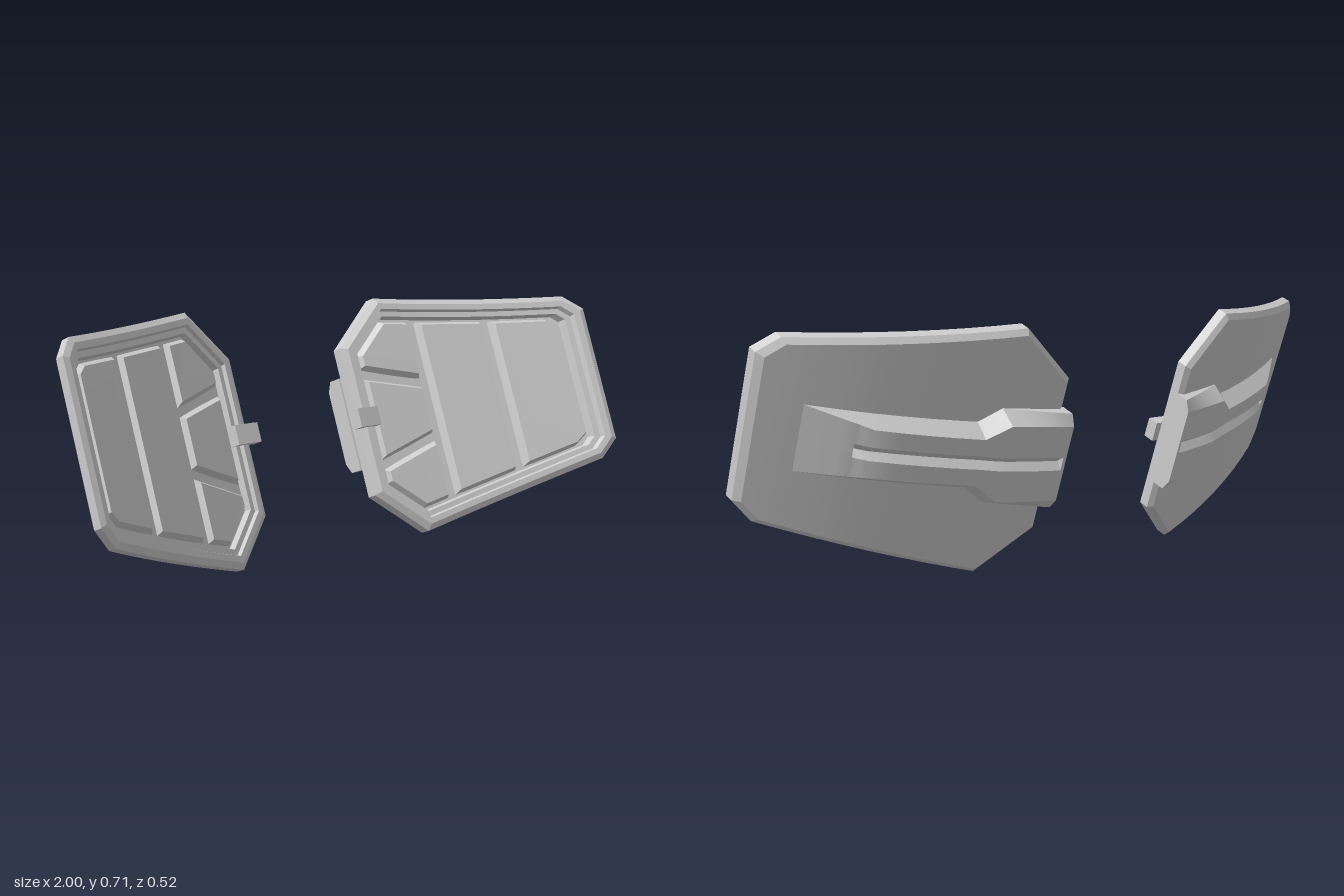
import * as THREE from 'three';
import { toCreasedNormals } from 'three/addons/utils/BufferGeometryUtils.js';

const TILT = THREE.MathUtils.degToRad(20);
const MID = 0.3725; // height of the panel's line of symmetry
const material = new THREE.MeshStandardMaterial({ color: 0xcccccc });

// Point on the bowed panel: x, height v, and distance h in front of its back face
const at = (x, v, h) => {
  const t = x - 0.22;
  return [x, v, -0.041 + 0.203 * t + 0.286 * t * t + h];
};

// Mesh from quads; side -1 mirrors in x and flips the corner order
function quadMesh(name, quads, side) {
  const pos = [];
  for (const q of quads) {
    const c = side > 0 ? q : [...q].reverse();
    for (const k of [0, 1, 2, 0, 2, 3]) pos.push(c[k][0] * side, c[k][1], c[k][2]);
  }
  const g = new THREE.BufferGeometry();
  g.setAttribute('position', new THREE.Float32BufferAttribute(pos, 3));
  const mesh = new THREE.Mesh(toCreasedNormals(g, 0.3), material);
  mesh.name = name;
  return mesh;
}

// Quads joining successive closed sections
function loft(sections) {
  const quads = [];
  for (let s = 0; s + 1 < sections.length; s++) {
    const a = sections[s], b = sections[s + 1], n = a.length;
    for (let j = 0; j < n; j++) {
      const k = (j + 1) % n;
      quads.push([a[j], a[k], b[k], b[j]]);
    }
  }
  return quads;
}

// Corners of a convex polygon moved inwards by d
function inset(polygon, d) {
  const n = polygon.length;
  const lines = polygon.map((p, i) => {
    const q = polygon[(i + 1) % n];
    const len = Math.hypot(q[0] - p[0], q[1] - p[1]);
    const nx = -(q[1] - p[1]) / len, ny = (q[0] - p[0]) / len;
    return [nx, ny, nx * p[0] + ny * p[1] + d];
  });
  return lines.map((b, i) => {
    const a = lines[(i + n - 1) % n], det = a[0] * b[1] - a[1] * b[0];
    return [(a[2] * b[1] - a[1] * b[2]) / det, (a[0] * b[2] - a[2] * b[0]) / det];
  });
}

const OUTLINE = [[1, 0.155], [1, 0.59], [0.95, 0.643], [0.37, 0.747],
  [0.22, 0.606], [0.22, 0.139], [0.37, -0.002], [0.95, 0.102]];

// Inset outline with the long edges subdivided to follow the bow
function ring([d, h]) {
  const corners = inset(OUTLINE, d), pts = [];
  corners.forEach((p, i) => {
    const q = corners[(i + 1) % corners.length], steps = i === 2 || i === 6 ? 8 : 1;
    for (let s = 0; s < steps; s++) {
      const t = s / steps;
      pts.push(at(p[0] + (q[0] - p[0]) * t, p[1] + (q[1] - p[1]) * t, h));
    }
  });
  return pts;
}

// Bevelled panel with a stepped rim around a recessed front
function panel(side) {
  const rings = [[0.015, 0], [0, 0.014], [0, 0.046], [0.018, 0.058], [0.036, 0.058],
    [0.04, 0.044], [0.056, 0.044], [0.06, 0.02]].map(ring);
  const quads = loft(rings);
  const back = rings[0], front = rings[rings.length - 1];
  for (let i = 1; i <= 10; i++) {
    const k = [i, i + 1, 22 - i, (23 - i) % 22];
    quads.push(k.map(j => front[j]), k.map(j => back[j]).reverse());
  }
  return quadMesh('panel', quads, side);
}

// Raised plate with bevelled edges, set in the recess
function plate(name, polygon, side) {
  const rings = [[0, 0.018], [0.012, 0.04]].map(([d, h]) =>
    inset(polygon, d).map(([x, v]) => at(x, v, h)));
  const quads = loft(rings), top = rings[1], n = top.length;
  const centre = [0, 1, 2].map(c => top.reduce((sum, p) => sum + p[c], 0) / n);
  for (let i = 0; i < n; i += 2) {
    const c = top[(i + 2) % n];
    quads.push([centre, top[i], top[(i + 1) % n], i + 1 < n ? c : top[0]]);
  }
  return quadMesh(name, quads, side);
}

// Plate outlines: outer, middle, and three fanned inner ones, with grooves between
const edge = x => 0.306 - 0.176 * (x - 0.37);
const mirrored = half => [...half, ...half.map(([x, r]) => [x, -r]).reverse()];
const UPPER = [[0.479, 0.1], [0.479, edge(0.479)], [0.388, edge(0.388)], [0.284, 0.205], [0.284, 0.16]];
const PLATES = [
  ['outerPlate', mirrored([[0.937, 0.183], [0.9, edge(0.9)], [0.731, edge(0.731)]])],
  ['middlePlate', mirrored([[0.709, edge(0.709)], [0.501, edge(0.501)]])],
  ['innerPlate', mirrored([[0.479, 0.075], [0.284, 0.133]])],
  ['upperPlate', UPPER],
  ['lowerPlate', UPPER.map(([x, r]) => [x, -r]).reverse()],
];

// Tapered, flared spine on the back with a groove along its middle
function spine(side) {
  // x, half height at base, shoulder rise, half height at top, rise, groove depth
  const keys = [[0.884, 0.098, 0, 0.098, 0, 0], [0.775, 0.098, 0, 0.078, 0.038, 0],
    [0.774, 0.098, 0, 0.078, 0.038, 0.02], [0.74, 0.098, 0, 0.071, 0.05, 0.02],
    [0.46, 0.1, 0, 0.07, 0.05, 0.02], [0.4, 0.144, 0, 0.116, 0.056, 0.02],
    [0.226, 0.146, 0.028, 0.115, 0.047, 0.02], [0.225, 0.146, 0.028, 0.115, 0.047, 0],
    [0.216, 0.146, 0.029, 0.115, 0.047, 0]];
  const section = ([x, b, r, t, h, g]) => [[b, 0.012], [b, -r], [t, -h], [0.02, -h], [0, g - h],
    [-0.02, -h], [-t, -h], [-b, -r], [-b, 0.012]].map(([v, w]) => at(x, MID + v, w));
  const sections = [section(keys[0])];
  for (let i = 1; i < keys.length; i++) {
    const steps = keys[i - 1][0] - keys[i][0] > 0.02 ? 4 : 1;
    for (let s = 1; s <= steps; s++) {
      sections.push(section(keys[i].map((e, j) => keys[i - 1][j] + (e - keys[i - 1][j]) * s / steps)));
    }
  }
  const quads = loft(sections), end = sections[sections.length - 1];
  for (const k of [[0, 1, 7, 8], [1, 2, 6, 7]]) quads.push(k.map(j => end[j]));
  return quadMesh('backSpine', quads, side);
}

export function createModel() {
  const model = new THREE.Group();
  model.name = 'curvedPanelPair';
  for (const side of [1, -1]) {
    const half = new THREE.Group();
    half.name = side > 0 ? 'leftPanel' : 'rightPanel';
    half.rotation.x = -TILT;
    half.add(panel(side), spine(side));
    for (const [name, polygon] of PLATES) {
      // Outlines run counter-clockwise seen from the front
      const area = polygon.reduce((sum, p, i) => {
        const q = polygon[(i + 1) % polygon.length];
        return sum + p[0] * q[1] - p[1] * q[0];
      }, 0);
      const loop = polygon.map(([x, r]) => [x, MID + r]);
      half.add(plate(name, area > 0 ? loop : loop.reverse(), side));
    }
    // Clip on the inner edge
    const clip = new THREE.Mesh(new THREE.BoxGeometry(0.083, 0.058, 0.036), material);
    clip.name = 'edgeClip';
    clip.position.set(side * 0.2415, MID + 0.006, 0.022);
    half.add(clip);
    model.add(half);
  }
  return model;
}
